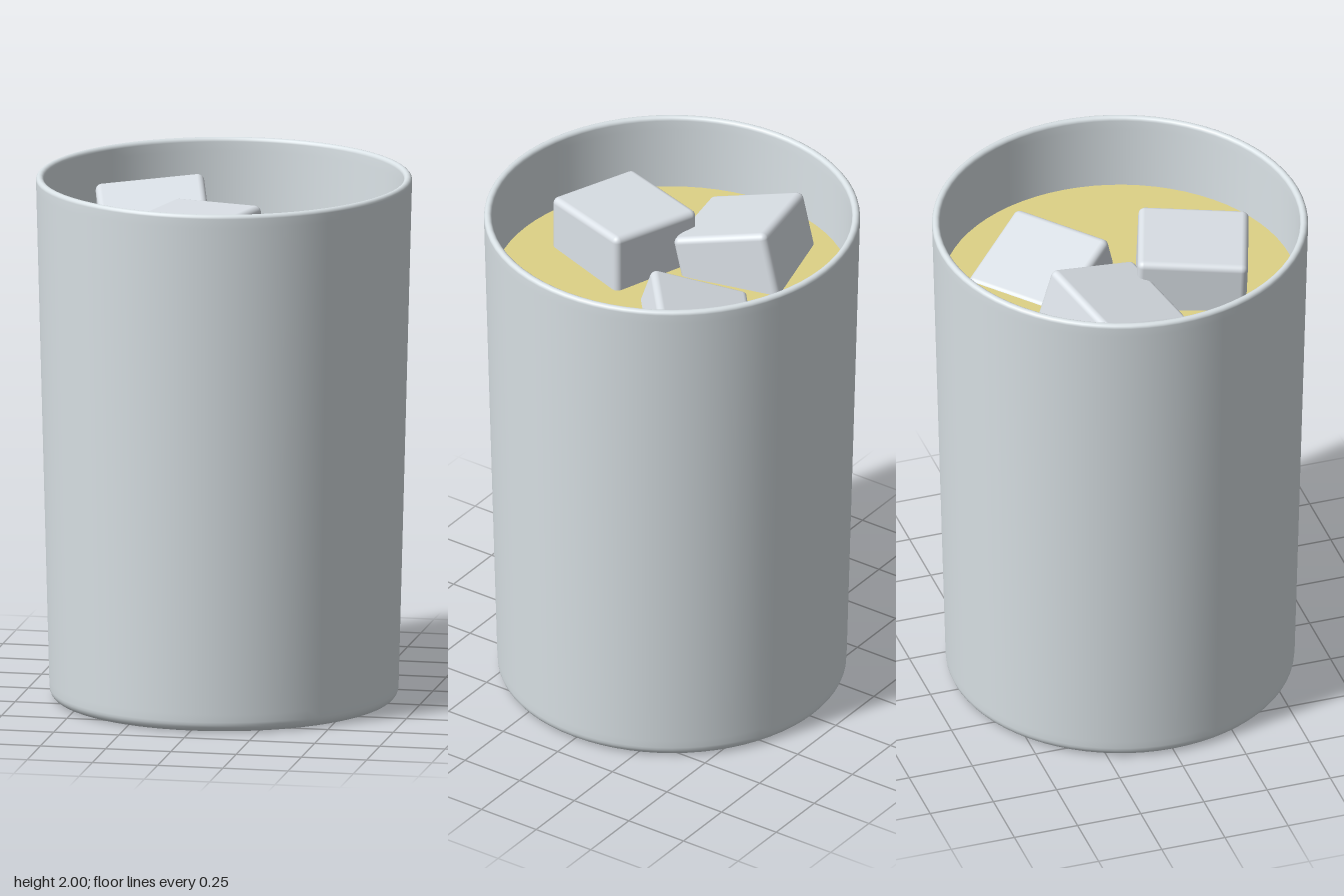
import * as THREE from 'three';
import { RoundedBoxGeometry } from 'three/addons/geometries/RoundedBoxGeometry.js';

export function createModel() {
  const model = new THREE.Group();
  model.name = 'icedDrink';
  const paint = (name, color) => Object.assign(new THREE.MeshStandardMaterial({ color }), { name });
  const glass = paint('paleGlass', 0xd9e1e5);
  const liquid = paint('yellowDrink', 0xded286);
  const ice = paint('ice', 0xd9dfe5);

  const add = (name, geometry, material) => {
    const mesh = new THREE.Mesh(geometry, material);
    mesh.name = name;
    model.add(mesh);
    return mesh;
  };

  // Profile arc, angles in degrees
  const arc = (cx, cy, r, from, to, steps) =>
    Array.from({ length: steps + 1 }, (_, i) => {
      const a = THREE.MathUtils.degToRad(from + ((to - from) * i) / steps);
      return new THREE.Vector2(cx + r * Math.cos(a), cy + r * Math.sin(a));
    });

  // Tumbler: rounded foot, slightly flared wall, rounded lip, hollow inside
  const profile = [
    new THREE.Vector2(0, 0),
    new THREE.Vector2(0.6, 0),
    ...arc(0.615, 0.04, 0.04, -90, 0, 6),
    new THREE.Vector2(0.6565, 0.07),
    new THREE.Vector2(0.7055, 1.95),
    ...arc(0.6915, 1.985, 0.015, 0, 180, 8),
    new THREE.Vector2(0.6755, 1.95),
    new THREE.Vector2(0.628, 0.1),
    new THREE.Vector2(0.6, 0.06),
    new THREE.Vector2(0, 0.06),
  ];
  add('tumbler', new THREE.LatheGeometry(profile, 72), glass);

  // Drink filling the tumbler
  const drink = add('drink', new THREE.CylinderGeometry(0.669, 0.628, 1.6, 72), liquid);
  drink.position.y = 0.9;

  // Ice cubes: centre of the top face, width and depth, turn, rise of the top along x and z
  const cubes = [
    { name: 'leftIceCube', top: [-0.295, 1.875, -0.095], size: [0.41, 0.385], turn: 0.25, rise: [0.03, -0.28] },
    { name: 'backIceCube', top: [0.17, 1.765, -0.27], size: [0.385, 0.41], turn: -0.87, rise: [0.22, 0.26] },
    { name: 'frontIceCube', top: [-0.07, 1.91, 0.267], size: [0.38, 0.415], turn: -0.33, rise: [0.04, -0.03] },
  ];
  const up = new THREE.Vector3(0, 1, 0);
  const height = 0.39;
  for (const { name, top, size, turn, rise } of cubes) {
    const cube = add(name, new RoundedBoxGeometry(size[0], height, size[1], 3, 0.025), ice);
    const normal = new THREE.Vector3(-rise[0], 1, -rise[1]).normalize();
    cube.quaternion
      .setFromUnitVectors(up, normal)
      .multiply(new THREE.Quaternion().setFromAxisAngle(up, turn));
    cube.position.set(...top).addScaledVector(normal, -height / 2);
  }

  return model;
}
